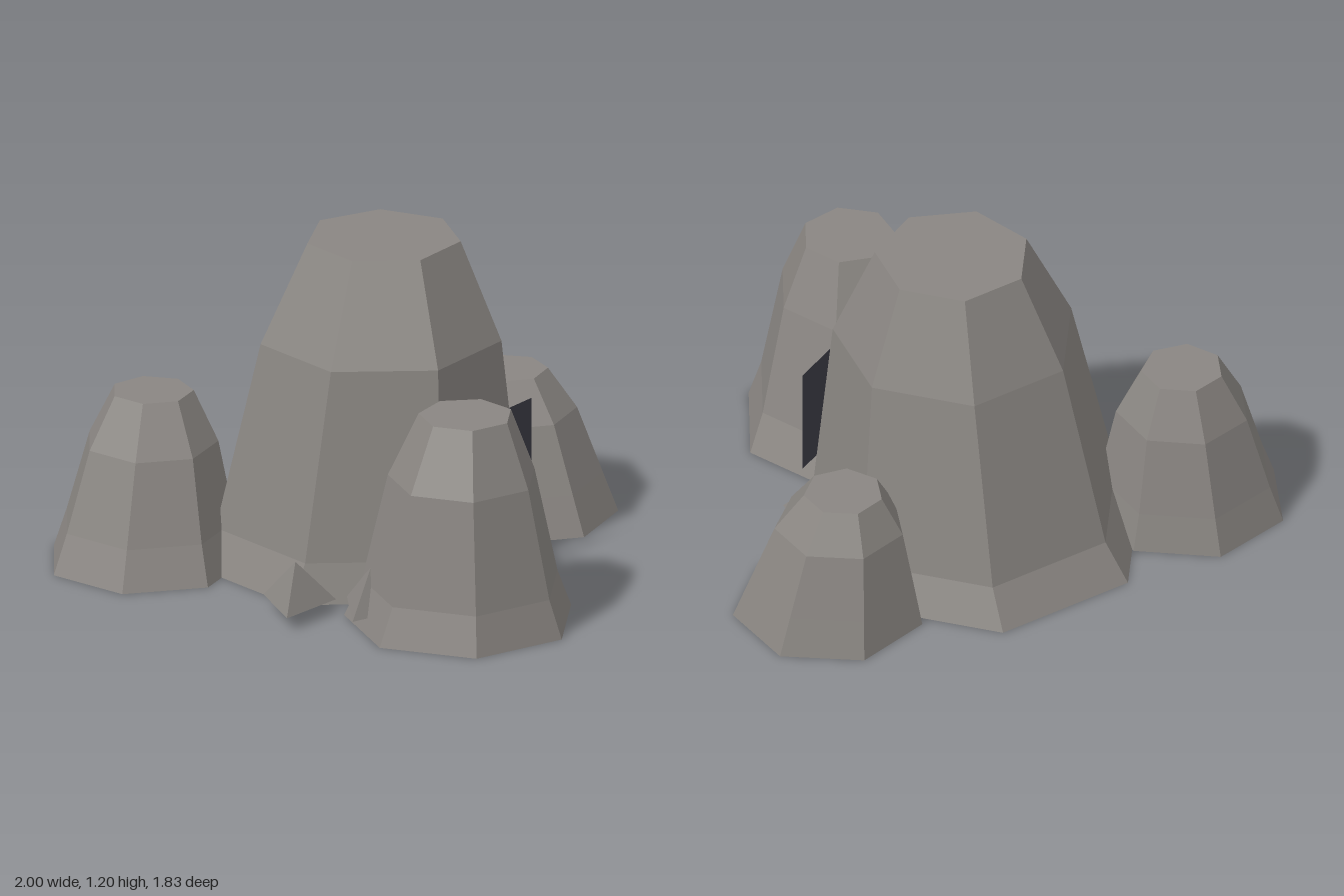
import * as THREE from 'three';

const stone = new THREE.MeshStandardMaterial({ color: 0x8a8682, side: THREE.DoubleSide });
stone.name = 'warm grey stone';
const slate = new THREE.MeshStandardMaterial({ color: 0x3d3d47, side: THREE.DoubleSide });
slate.name = 'dark slate';

const SIDES = 7;

// Faceted boulder, open underneath. Each ring is [y, centreX, centreZ, radius].
function boulder(name, phaseDegrees, rings) {
  const points = rings.map(([y, cx, cz, r]) => {
    const loop = [];
    for (let i = 0; i < SIDES; i++) {
      const a = THREE.MathUtils.degToRad(phaseDegrees) + (i / SIDES) * Math.PI * 2;
      loop.push([cx + Math.cos(a) * r, y, cz + Math.sin(a) * r]);
    }
    return loop;
  });
  const positions = [];
  const tri = (a, b, c) => positions.push(...a, ...b, ...c);
  const [topY, topX, topZ] = rings[rings.length - 1];
  for (let i = 0; i < SIDES; i++) {
    const j = (i + 1) % SIDES;
    for (let k = 0; k < rings.length - 1; k++) {
      const low = points[k], high = points[k + 1];
      tri(low[i], high[i], high[j]);
      tri(low[i], high[j], low[j]);
    }
    const top = points[points.length - 1];
    tri([topX, topY, topZ], top[j], top[i]);
  }
  const geometry = new THREE.BufferGeometry();
  geometry.setAttribute('position', new THREE.Float32BufferAttribute(positions, 3));
  geometry.computeVertexNormals();
  const mesh = new THREE.Mesh(geometry, stone);
  mesh.name = name;
  return mesh;
}

// Three-sided chip of rock; heading is the direction of one base corner
function pebble(x, z, headingDegrees) {
  const geometry = new THREE.ConeGeometry(0.152, 0.16, 3).toNonIndexed();
  geometry.computeVertexNormals();
  const mesh = new THREE.Mesh(geometry, stone);
  mesh.name = 'pebble';
  mesh.position.set(x, 0.13, z);
  mesh.rotation.y = THREE.MathUtils.degToRad(headingDegrees);
  return mesh;
}

export function createModel() {
  const group = new THREE.Group();
  group.name = 'rockCluster';

  // Boulders
  group.add(
    boulder('mainBoulder', -5, [
      [0, 0.06, -0.055, 0.62], [0.145, 0.09, -0.045, 0.56],
      [0.84, 0.14, -0.03, 0.44], [1.2, 0.147, -0.05, 0.28],
    ]),
    boulder('frontBoulder', 15.5, [
      [0, 0.595, 0.53, 0.418], [0.145, 0.605, 0.545, 0.36],
      [0.555, 0.616, 0.575, 0.27], [0.79, 0.625, 0.57, 0.17],
    ]),
    boulder('rightBoulder', 36, [
      [0, -0.65, 0.25, 0.36], [0.145, -0.648, 0.235, 0.315],
      [0.44, -0.64, 0.21, 0.241], [0.625, -0.64, 0.19, 0.148],
    ]),
    boulder('backBoulder', 34, [
      [0, 0.505, -0.59, 0.347], [0.145, 0.49, -0.595, 0.305],
      [0.385, 0.465, -0.605, 0.235], [0.53, 0.45, -0.615, 0.143],
    ]),
  );

  // Loose pebbles around the base
  const pebbles = new THREE.Group();
  pebbles.name = 'pebbles';
  pebbles.add(
    pebble(0.023, 0.673, 4),
    pebble(0.295, 0.647, -10),
    pebble(0.62, -0.147, 63),
    pebble(0.45, -0.68, 30),
  );
  group.add(pebbles);

  // Dark slab leaning on the side of the main boulder
  const slab = new THREE.Mesh(new THREE.PlaneGeometry(0.43, 0.41), slate);
  slab.name = 'sideSlab';
  slab.position.set(0.605, 0.425, 0.12);
  slab.rotation.y = THREE.MathUtils.degToRad(68);
  group.add(slab);

  return group;
}
